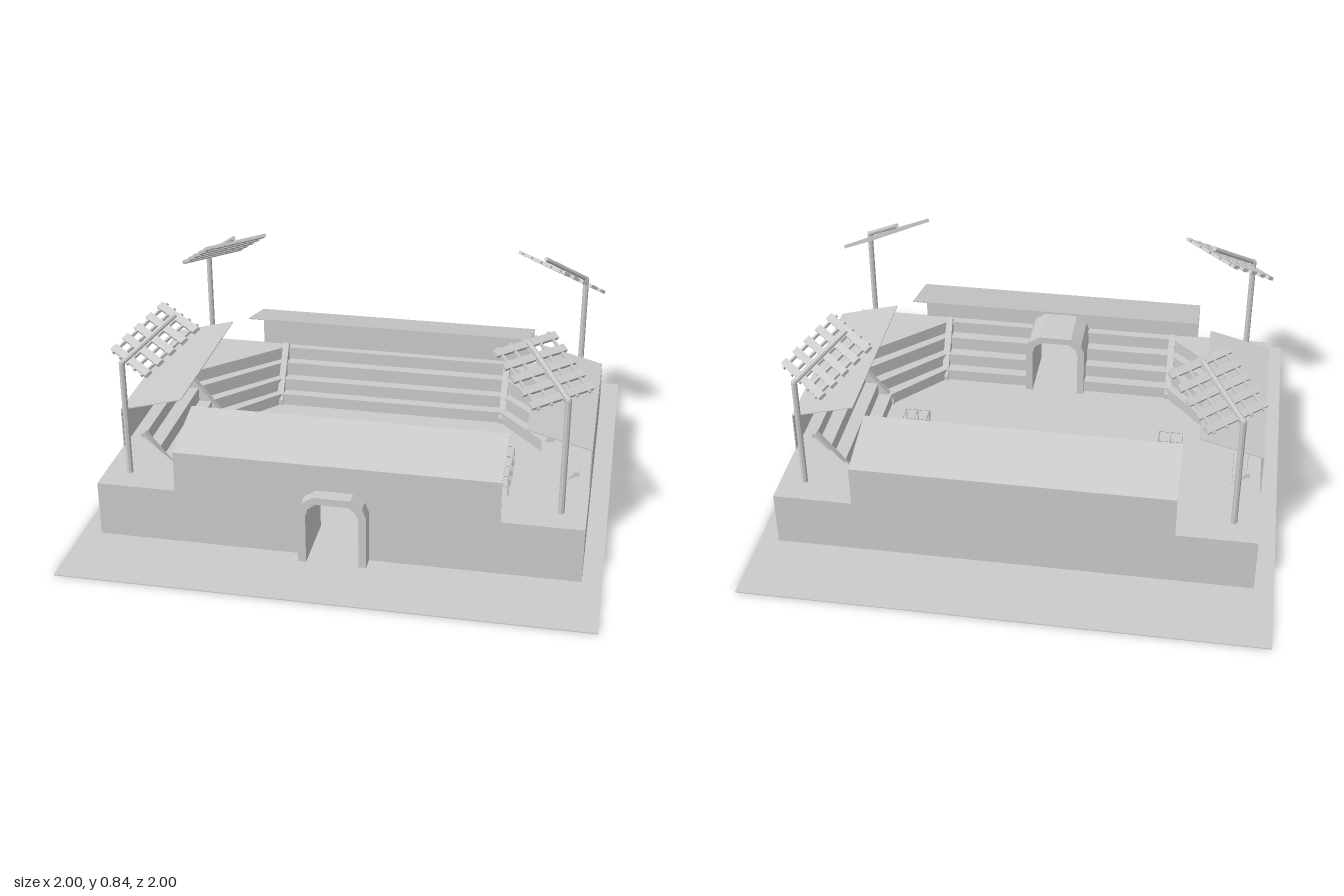
import * as THREE from 'three';

const mat = new THREE.MeshStandardMaterial({ color: 0xcccccc, flatShading: true, side: THREE.DoubleSide });
const V = (x, y, z) => new THREE.Vector3(x, y, z);
const W = 0.925, D = 0.69, DECK = 0.225, EAVE = 0.39, RIDGE = 0.455;

function add(parent, geo, name) {
  const m = new THREE.Mesh(geo, mat);
  m.name = name;
  parent.add(m);
  return m;
}

function extrude(points, depth) {
  const shape = new THREE.Shape(points.map(([x, y]) => new THREE.Vector2(x, y)));
  return new THREE.ExtrudeGeometry(shape, { depth, bevelEnabled: false });
}

// round bar between two points
function bar(parent, a, b, r, name, sides = 6) {
  const m = add(parent, new THREE.CylinderGeometry(r, r, a.distanceTo(b), sides), name);
  m.position.copy(a).add(b).multiplyScalar(0.5);
  m.quaternion.setFromUnitVectors(V(0, 1, 0), b.clone().sub(a).normalize());
  return m;
}

// one seating tier: a rectangle with an octagonal bowl, cut at the front for the tunnel
function tier(t, y0, y1) {
  const L = THREE.MathUtils.lerp;
  const ax = L(0.70, 0.87, t), az = L(0.28, 0.30, t), bx = L(0.50, 0.51, t), bz = L(0.51, 0.65, t);
  const g = 0.1;
  const half = [[g, D], [W, D], [W, -D]];
  const inner = [[g, bz], [bx, bz], [ax, az], [ax, -az], [bx, -bz]];
  const flip = ([x, z]) => [-x, z];
  const pts = [...half, ...half.map(flip).reverse(), ...inner.map(flip), ...inner.slice().reverse()];
  return extrude(pts, y1 - y0).rotateX(Math.PI / 2).translate(0, y1, 0);
}

// upper wall with a sloping roof over one stand; outer wall at distance "out"
function canopy(out, lip, length) {
  const t = 0.004;
  return extrude([
    [out - t, DECK], [out, DECK], [out, EAVE], [lip, RIDGE], [lip, RIDGE - t], [out - t, EAVE - t],
  ], length).translate(0, 0, -length / 2);
}

// floodlight mast, built for the +x +z corner
function floodlight() {
  const g = new THREE.Group();
  const elbow = V(0.83, 0.69, 0.58), tip = V(0.665, 0.83, 0.415);
  bar(g, V(0.83, 0, 0.58), elbow, 0.012, 'mast', 8);
  bar(g, elbow, tip, 0.01, 'lampArm', 8);
  add(g, new THREE.SphereGeometry(0.012, 8, 6), 'mastElbow').position.copy(elbow);

  // lamp panel lies in the plane of the arm
  const panel = new THREE.Group();
  panel.name = 'lampPanel';
  const along = tip.clone().sub(elbow).normalize();
  const across = V(1, 0, -1).normalize();
  const normal = across.clone().cross(along);
  panel.quaternion.setFromRotationMatrix(new THREE.Matrix4().makeBasis(across, along, normal));
  panel.position.set(0.73, 0.752, 0.48);
  const rows = 5, step = 0.06;
  for (let i = 0; i < rows; i++) {
    const y = (i - (rows - 1) / 2) * step;
    add(panel, new THREE.BoxGeometry(0.29, 0.03, 0.014), 'lampRow').position.y = y;
  }
  for (let i = 0; i < 5; i++) {
    const x = (i - 2) * 0.06;
    add(panel, new THREE.BoxGeometry(0.01, rows * step - 0.015, 0.01), 'lampRail').position.x = x;
  }
  g.add(panel);
  return g;
}

// goal frame with a coarse net, mouth towards the middle of the pitch
function goal() {
  const g = new THREE.Group();
  const x0 = 0.495, x1 = 0.595, z = 0.125, h = 0.1, r = 0.003;
  for (const s of [-1, -1 / 3, 1 / 3, 1]) {
    bar(g, V(x0, h, s * z), V(x1, h, s * z), r, 'netTop');
    bar(g, V(x1, 0, s * z), V(x1, h, s * z), r, 'netBack');
  }
  for (const s of [-1, 1]) {
    bar(g, V(x0, 0, s * z), V(x0, h, s * z), 0.005, 'goalPost');
    bar(g, V(x0, h / 2, s * z), V(x1, h / 2, s * z), r, 'netSide');
    bar(g, V(0.545, 0, s * z), V(0.545, h, s * z), r, 'netSide');
  }
  bar(g, V(x0, h, -z), V(x0, h, z), 0.005, 'crossbar');
  for (const [x, y] of [[0.545, h], [x1, h], [x1, h / 2], [x1, 0.004]])
    bar(g, V(x, y, -z), V(x, y, z), r, 'netCross');
  return g;
}

export function createModel() {
  const root = new THREE.Group();
  root.name = 'stadium';

  add(root, new THREE.BoxGeometry(2, 0.004, 2).translate(0, 0.002, 0), 'ground');

  // stepped seating bowl, the top tier forming the corner decks
  const levels = [0, 0.055, 0.11, 0.17, DECK];
  for (let i = 0; i < 4; i++) add(root, tier(i / 3, levels[i], levels[i + 1]), 'seatingTier');

  // roofed stands on the four sides
  for (let i = 0; i < 4; i++) {
    const geo = i % 2 ? canopy(D, 0.43, 1.235) : canopy(W, 0.675, 0.77);
    add(root, geo, 'standRoof').rotation.y = i * Math.PI / 2;
  }

  // sloping parapets where the straight stands meet the corner stands
  const w = 0.028;
  const sideParapet = extrude([[0.69, 0], [0.88, 0], [0.88, 0.245], [0.865, 0.245], [0.69, 0.03]], w);
  const endParapet = extrude([[0.50, 0], [0.66, 0], [0.66, 0.245], [0.645, 0.245], [0.50, 0.03]], w);
  for (const sx of [-1, 1]) for (const sz of [-1, 1]) {
    const a = add(root, sideParapet, 'aisleParapet');
    a.rotation.y = sx > 0 ? 0 : Math.PI;
    a.position.z = sz * 0.29 - sx * w / 2;
    const b = add(root, endParapet, 'aisleParapet');
    b.rotation.y = -sz * Math.PI / 2;
    b.position.x = sx * 0.505 + sz * w / 2;
  }

  // arched entrance tunnel through the front stand
  const outer = [[0.13, 0], [0.13, 0.215], [0.115, 0.255], [0.07, 0.285]];
  const inner = [[0.1, 0], [0.1, 0.205], [0.09, 0.235], [0.06, 0.257]];
  const flip = ([x, y]) => [-x, y];
  const arch = [...outer, ...outer.map(flip).reverse(), ...inner.map(flip), ...inner.slice().reverse()];
  add(root, extrude(arch, 0.26).translate(0, 0, 0.485), 'entranceArch');

  // floodlights in the corners, goals at both ends
  for (const [sx, sz] of [[1, 1], [1, -1], [-1, 1], [-1, -1]]) {
    const f = floodlight();
    f.name = 'floodlight';
    f.scale.set(sx, 1, sz);
    root.add(f);
  }
  for (const s of [-1, 1]) {
    const g = goal();
    g.name = 'goal';
    g.scale.x = s;
    root.add(g);
  }
  return root;
}
